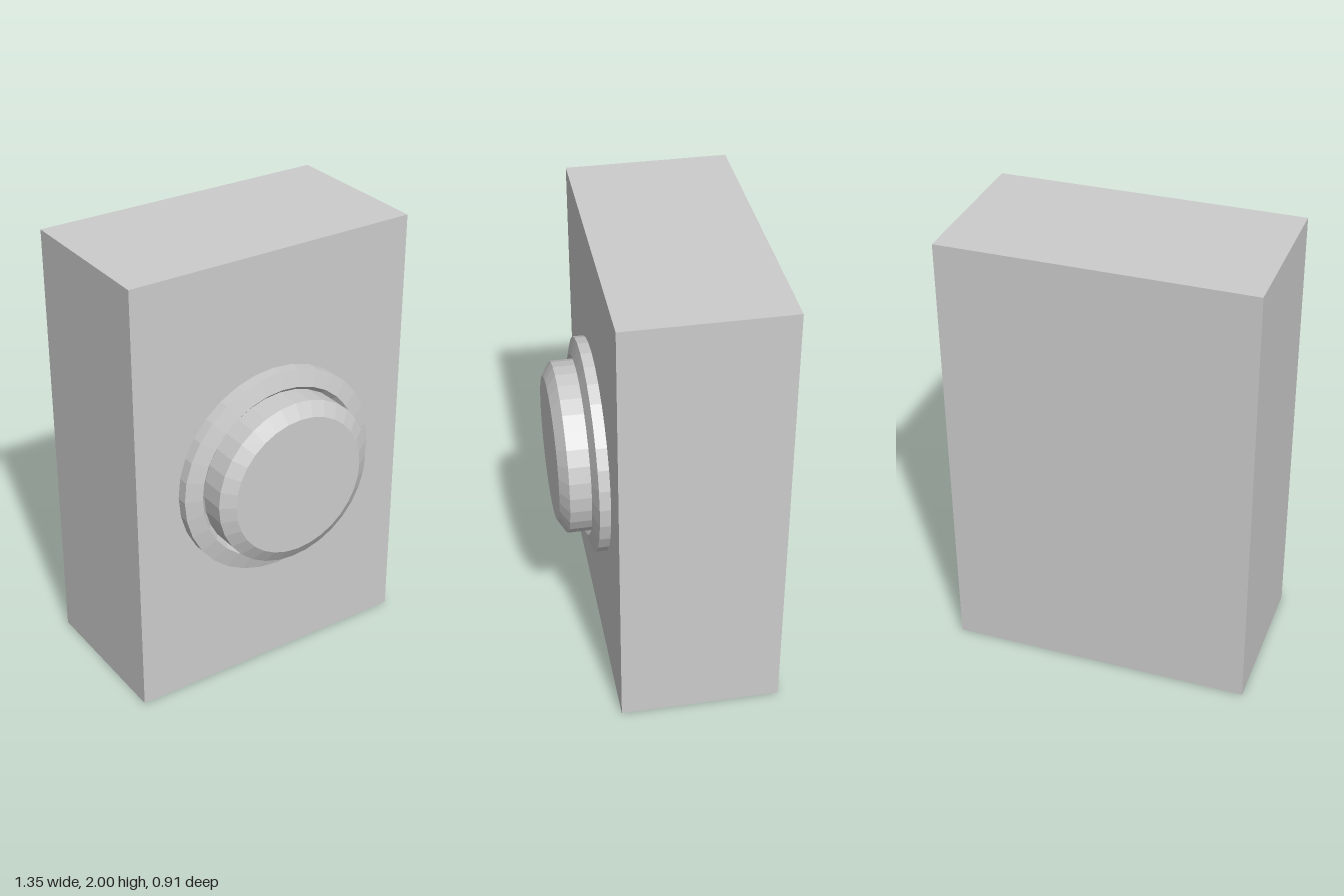
import * as THREE from 'three';

const material = new THREE.MeshStandardMaterial({ color: 0xcccccc, flatShading: true });
const FRONT = 0.257, BACK = -0.454, SIDES = 32;

// Turned part whose axis points forward; profile is [radius, z] from back to front
function turned(name, profile) {
  const points = profile.map(([r, z]) => new THREE.Vector2(r, z));
  const geometry = new THREE.LatheGeometry(points, SIDES).rotateX(Math.PI / 2);
  const mesh = new THREE.Mesh(geometry, material);
  mesh.name = name;
  mesh.position.y = 1;
  return mesh;
}

export function createModel() {
  const group = new THREE.Group();
  group.name = 'pushButtonBox';

  // Housing block
  const housing = new THREE.Mesh(new THREE.BoxGeometry(1.35, 2, FRONT - BACK), material);
  housing.name = 'housing';
  housing.position.set(0, 1, (FRONT + BACK) / 2);
  group.add(housing);

  // Collar with a wide outer chamfer and a small inner one
  group.add(turned('collar', [
    [0.475, FRONT], [0.475, 0.305], [0.4, 0.326], [0.38, 0.305], [0.38, FRONT],
  ]));

  // Button with chamfered rim and flat face
  group.add(turned('button', [
    [0.379, FRONT], [0.379, 0.416], [0.318, 0.454], [0, 0.454],
  ]));

  return group;
}
